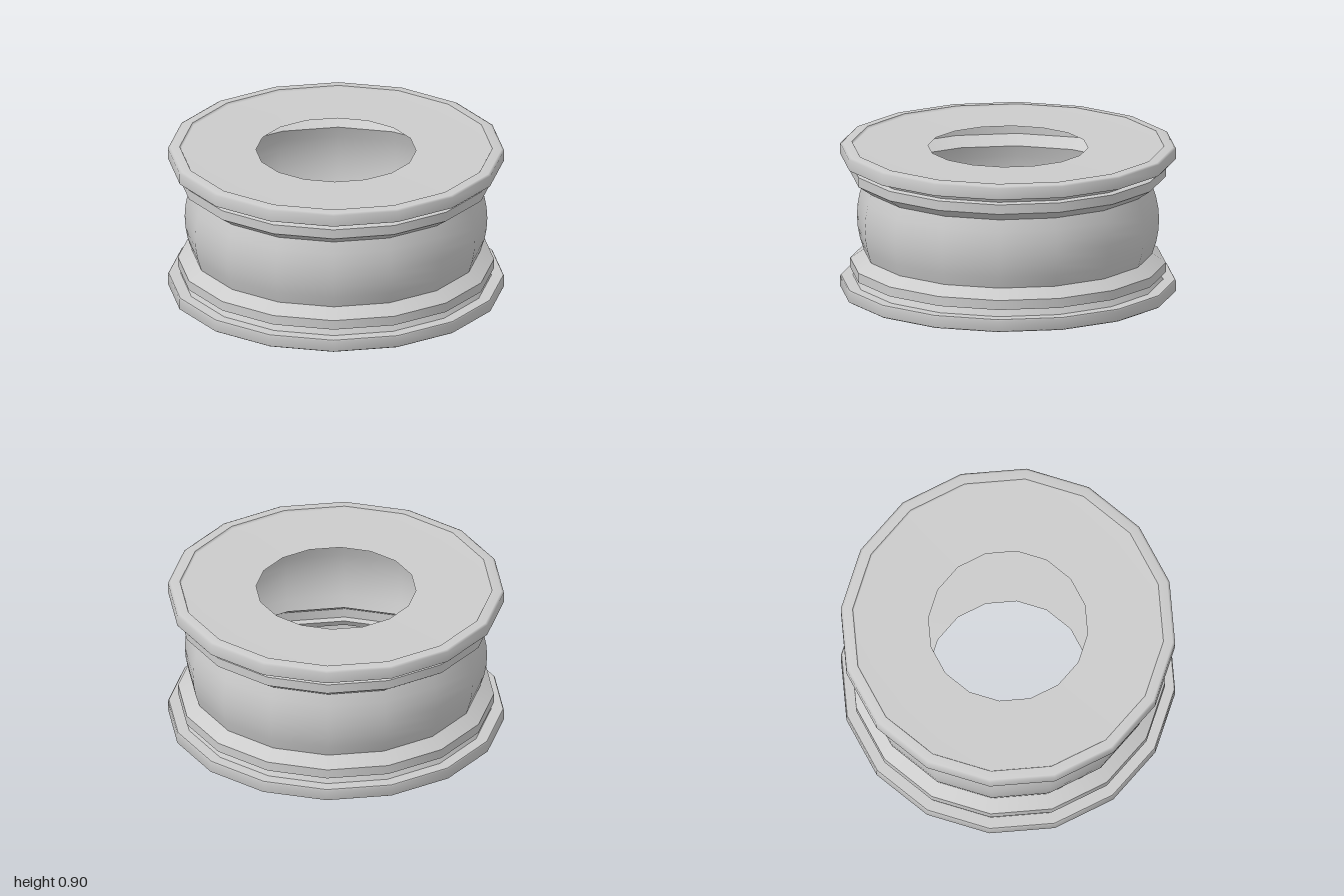
import * as THREE from 'three';

const HEIGHT = 0.9;
const SIDES = 16;

export function createModel() {
  const group = new THREE.Group();
  const material = new THREE.MeshStandardMaterial({ color: 0xcccccc, side: THREE.DoubleSide });

  // One smooth band turned around the y axis; separate bands meet in sharp creases
  const band = (name, points) => {
    const profile = points.map(([r, y]) => new THREE.Vector2(r, y));
    const mesh = new THREE.Mesh(new THREE.LatheGeometry(profile, SIDES), material);
    mesh.name = name;
    group.add(mesh);
  };

  // Bands of the upper half, listed from the middle outwards
  const upperBands = {
    Shoulder: [[0.86, 0.66], [0.94, 0.715]],
    Ledge: [[0.94, 0.715], [0.94, 0.773]],
    LedgeTop: [[0.94, 0.773], [0.905, 0.78]],
    Groove: [[0.905, 0.78], [0.925, 0.818]],
    RimUnderside: [[0.925, 0.818], [0.995, 0.818]],
    Rim: [[0.995, 0.818], [1, 0.825], [1, 0.888], [0.985, 0.897], [0.93, 0.9]],
    Sidewall: [[0.93, 0.9], [0.922, 0.886], [0.476, 0.884]],
  };
  for (const [name, points] of Object.entries(upperBands)) {
    band('upper' + name, points);
    band('lower' + name, points.map(([r, y]) => [r, HEIGHT - y]).reverse());
  }

  // Bulging hollow middle
  const bulge = [];
  for (let i = 0; i <= 6; i++) {
    const t = i / 3 - 1;
    bulge.push([0.9 - 0.04 * t * t, HEIGHT / 2 + 0.21 * t]);
  }
  band('bulgingBarrel', bulge);

  return group;
}
